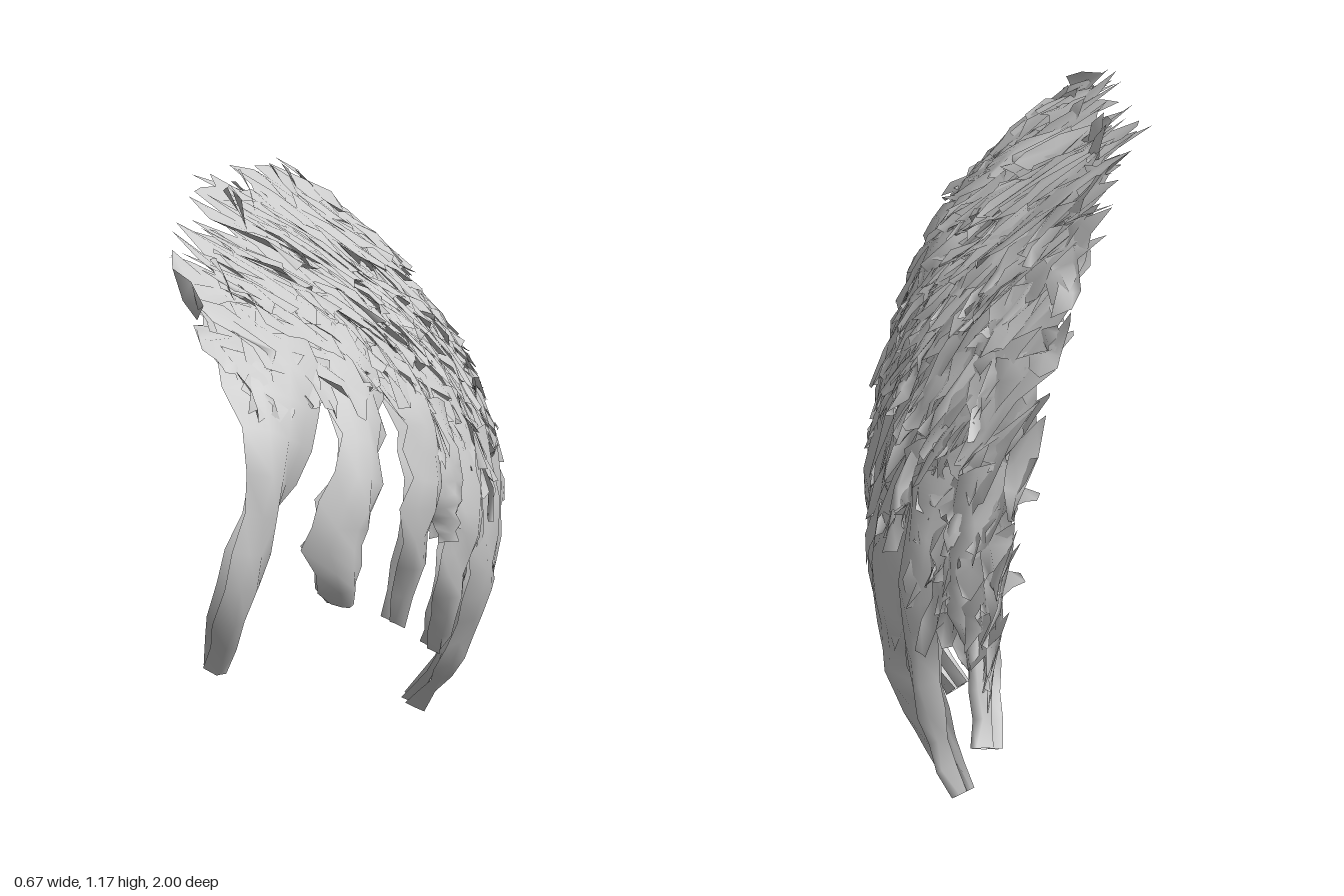
import * as THREE from 'three';

// Stations along the shell: z, top-edge x, top-edge y, bulge x, bulge y, lower-edge y
const STATIONS = [
  [-1.0, 0.20, 0.52, 0.21, 0.40, 0.49],
  [-0.85, 0.15, 0.69, 0.23, 0.40, 0.58],
  [-0.7, 0.10, 0.81, 0.27, 0.40, 0.54],
  [-0.55, 0.03, 0.92, 0.285, 0.40, 0.50],
  [-0.45, -0.02, 0.99, 0.30, 0.40, 0.33],
  [-0.2, -0.10, 1.10, 0.303, 0.40, 0.26],
  [0.0, -0.20, 1.13, 0.285, 0.42, 0.32],
  [0.2, -0.26, 1.11, 0.24, 0.47, 0.42],
  [0.35, -0.27, 1.07, 0.19, 0.53, 0.50],
  [0.5, -0.27, 1.04, 0.13, 0.60, 0.70],
  [0.65, -0.28, 1.01, 0.07, 0.61, 0.78],
  [0.78, -0.27, 0.95, 0.00, 0.62, 0.80],
  [0.88, -0.25, 0.88, -0.13, 0.68, 0.80],
  [1.0, -0.25, 0.80, -0.20, 0.66, 0.70],
];

// Hanging locks as centre points: z, y, half width
const LOCKS = [
  [[0.68, 0.92, 0.08], [0.83, 0.81, 0.07], [0.92, 0.64, 0.055], [0.945, 0.48, 0.045], [0.88, 0.33, 0.012]],
  [[0.52, 0.88, 0.09], [0.68, 0.77, 0.07], [0.77, 0.62, 0.055], [0.79, 0.52, 0.05], [0.76, 0.42, 0.02]],
  [[0.42, 0.86, 0.10], [0.46, 0.70, 0.09], [0.51, 0.53, 0.06], [0.47, 0.32, 0.008]],
  [[0.34, 0.72, 0.10], [0.38, 0.56, 0.08], [0.37, 0.46, 0.03]],
  [[0.20, 0.72, 0.12], [0.25, 0.50, 0.11], [0.28, 0.36, 0.06], [0.23, 0.21, 0.008]],
  [[0.02, 0.62, 0.13], [0.03, 0.36, 0.11], [-0.01, 0.17, 0.06], [-0.11, 0.005, 0.01]],
  [[-0.16, 0.55, 0.13], [-0.18, 0.32, 0.10], [-0.24, 0.19, 0.06], [-0.33, 0.10, 0.015]],
  [[-0.32, 0.58, 0.14], [-0.38, 0.38, 0.12], [-0.46, 0.25, 0.08], [-0.57, 0.15, 0.015]],
  [[-0.42, 0.72, 0.11], [-0.57, 0.54, 0.09], [-0.70, 0.41, 0.055], [-0.82, 0.27, 0.006]],
  [[-0.56, 0.80, 0.09], [-0.70, 0.66, 0.08], [-0.84, 0.60, 0.04], [-1.0, 0.5, 0.004]],
];

let seed = 11;
const rnd = () => (seed = (seed * 16807) % 2147483647) / 2147483647;
const jit = (a) => (rnd() * 2 - 1) * a;

// Interpolated station at any z
function station(z) {
  let i = 0;
  while (i < STATIONS.length - 2 && z > STATIONS[i + 1][0]) i++;
  const a = STATIONS[i], b = STATIONS[i + 1];
  const t = THREE.MathUtils.clamp((z - a[0]) / (b[0] - a[0]), 0, 1);
  return a.map((v, k) => v + (b[k] - v) * t);
}

// Curved side surface: x as a function of z and y
function bulge(z, y) {
  const [, xT, yT, xm, ym] = station(z);
  if (y < ym) return xm - (ym - y) ** 2;
  return xm - (xm - xT) * Math.min((y - ym) / (yT - ym), 1.08) ** 2.1;
}

// Point on the surface, lifted along its normal
function onSurface(z, y, lift = 0) {
  const e = 0.03, x = bulge(z, y);
  const n = new THREE.Vector3(1, (bulge(z, y - e) - bulge(z, y + e)) / (2 * e),
    (bulge(z - e, y) - bulge(z + e, y)) / (2 * e)).normalize();
  return new THREE.Vector3(x, y, z).addScaledVector(n, lift);
}

// Appends a grid of points to a shared vertex/index store
function addGrid(store, rows, cols, point) {
  const base = store.pos.length / 3;
  for (let i = 0; i <= rows; i++)
    for (let j = 0; j <= cols; j++) store.pos.push(...point(i / rows, j / cols, i, j).toArray());
  for (let i = 0; i < rows; i++)
    for (let j = 0; j < cols; j++) {
      const a = base + i * (cols + 1) + j, b = a + cols + 1;
      store.idx.push(a, a + 1, b, b, a + 1, b + 1);
    }
}

function toMesh(store, name, material) {
  const g = new THREE.BufferGeometry();
  g.setAttribute('position', new THREE.Float32BufferAttribute(store.pos, 3));
  g.setIndex(store.idx);
  g.computeVertexNormals();
  const mesh = new THREE.Mesh(g, material);
  mesh.name = name;
  return mesh;
}

// Tapering, cupped ribbon that follows the surface
function addLock(store, points, lift, arch, widen) {
  const curve = new THREE.CatmullRomCurve3(points.map((p) => new THREE.Vector3(...p)));
  const rows = 11;
  const edge = Array.from({ length: rows + 1 }, () => [1 + jit(0.28), 1 + jit(0.28)]);
  addGrid(store, rows, 4, (u, v, i) => {
    const p = curve.getPoint(u), t = curve.getTangent(u);
    const len = Math.hypot(t.x, t.y) || 1, s = v * 2 - 1;
    const w = Math.max(p.z, 0.003) * widen * s * edge[i][s < 0 ? 0 : 1];
    return onSurface(p.x - (t.y / len) * w, p.y + (t.x / len) * w,
      lift + arch * (0.5 - s * s) + jit(0.008));
  });
}

export function createModel() {
  const group = new THREE.Group();
  const material = new THREE.MeshStandardMaterial({ color: 0xcccccc, side: THREE.DoubleSide });
  const make = () => ({ pos: [], idx: [] });

  // Main curved shell with ragged edges
  const shell = make();
  const cols = 50;
  const ragged = Array.from({ length: cols + 1 }, () => [jit(0.03), jit(0.03)]);
  addGrid(shell, 14, cols, (u, v, i, j) => {
    const z = -0.97 + v * 1.85;
    const s = station(z);
    const top = s[2] + ragged[j][0], low = s[5] + ragged[j][1];
    return onSurface(z, top + (Math.min(low, top - 0.01) - top) * u, jit(0.009));
  });
  group.add(toMesh(shell, 'shell', material));

  // Long hanging locks along the lower edge, each backed by a narrower inner one
  const locks = make(), innerLocks = make();
  LOCKS.forEach((points) => {
    addLock(locks, points, 0.005, 0.03, 1);
    addLock(innerLocks, points, -0.018, 0.02, 0.75);
  });
  group.add(toMesh(locks, 'hangingLocks', material), toMesh(innerLocks, 'innerLocks', material));

  // Broad crumpled tufts layered over the upper part, fanning out from the crown
  const tufts = make();
  for (let k = 0; k < 420; k++) {
    const z = -0.86 + 1.68 * rnd(), y = 0.5 + 0.63 * rnd();
    const [, , yT, , , yB] = station(z);
    const high = (y - yB) / (yT - yB);
    if (high > 1 || high < 0.3 + 0.25 * rnd()) continue;
    const dir = new THREE.Vector2(z - 0.05, y - 1.35).normalize().rotateAround(new THREE.Vector2(), jit(0.6));
    const len = Math.min(0.09 + 0.1 * rnd(), y - yB + 0.07), wide = 0.03 + 0.03 * rnd();
    const tilt = 0.012 + 0.016 * rnd();
    addGrid(tufts, 3, 2, (u, v) => {
      const w = wide * (v * 2 - 1) * (1.1 - u * 0.85) + jit(0.014);
      const along = len * u + jit(0.012);
      return onSurface(z + dir.x * along - dir.y * w, y + dir.y * along + dir.x * w,
        tilt * (u * 0.8 + 0.15) + jit(0.012));
    });
  }
  group.add(toMesh(tufts, 'layeredTufts', material));

  // Broad spiky tips standing out along the top edge
  const spikes = make();
  for (let k = 0; k < 26; k++) {
    const z = -0.8 + 1.62 * (k + rnd()) / 26;
    const root = onSurface(z, station(z)[2] - 0.035);
    const out = new THREE.Vector3(-0.05 + jit(0.02), 0.045 + jit(0.03), jit(0.05));
    addGrid(spikes, 2, 1, (u, v) => root.clone().addScaledVector(out, u)
      .add(new THREE.Vector3(jit(0.008), jit(0.008), (v - 0.5) * 0.09 * (1.1 - u))));
  }
  group.add(toMesh(spikes, 'topSpikes', material));

  return group;
}
